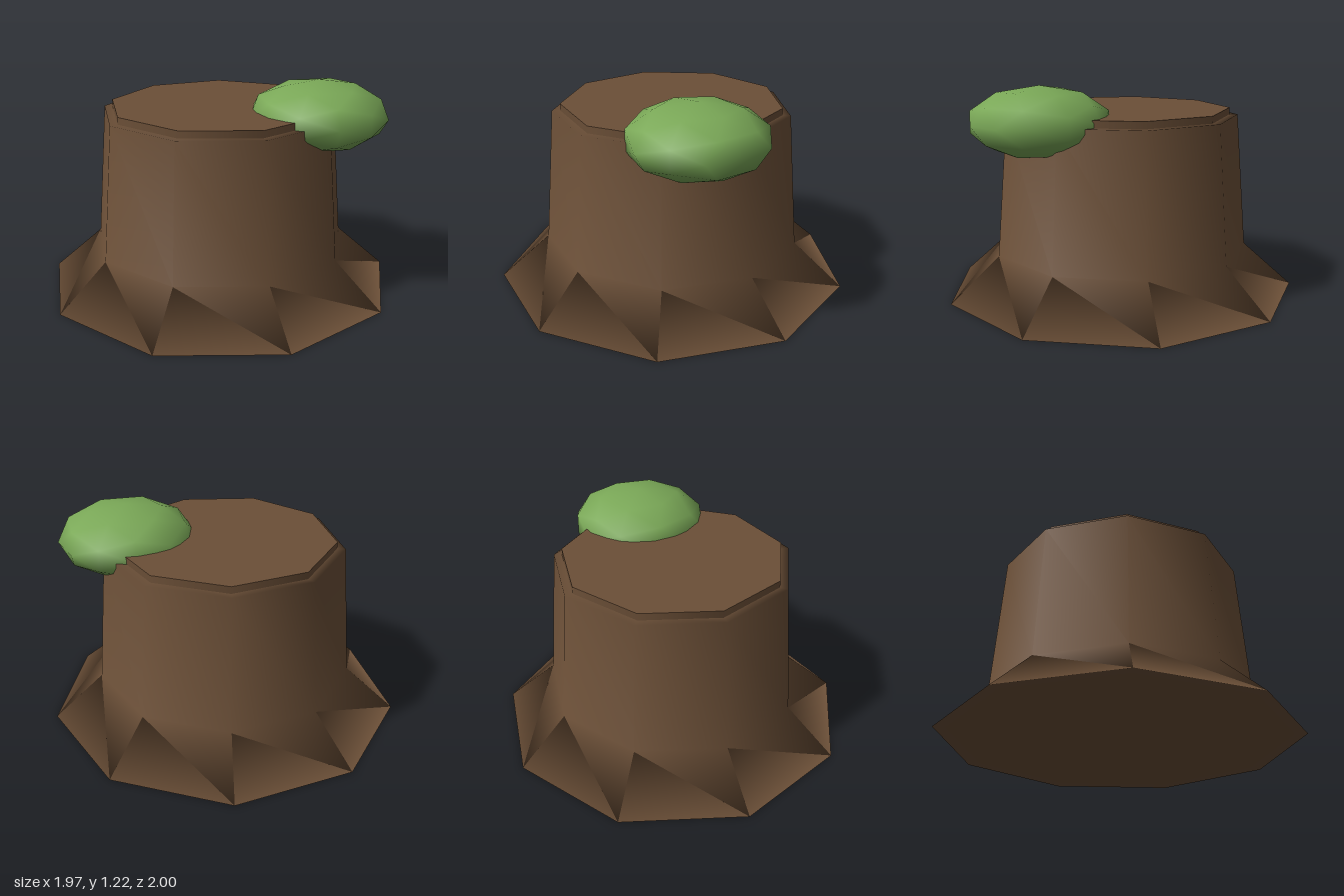
import * as THREE from 'three';

const SIDES = 9;
const START = Math.PI / 2; // one corner points to +x

export function createModel() {
  const bark = new THREE.MeshStandardMaterial({ color: 0x6b4f37 });
  bark.name = 'bark brown';
  const green = new THREE.MeshStandardMaterial({ color: 0x7aa857 });
  green.name = 'moss green';

  const group = new THREE.Group();
  group.name = 'treeStump';

  const add = (name, geometry, material, x, y, z) => {
    const mesh = new THREE.Mesh(geometry, material);
    mesh.name = name;
    mesh.position.set(x, y, z);
    group.add(mesh);
    return mesh;
  };

  // Closed underside, flared root skirt, tapered trunk and narrow top rim,
  // with normals blended along the profile
  const profile = [
    [0, 0], [1.015, 0], [0.735, 0.25], [0.675, 1.02], [0.6, 1.02],
  ].map(([r, y]) => new THREE.Vector2(r, y));
  add('trunk', new THREE.LatheGeometry(profile, SIDES, START), bark, -0.03, 0, 0);

  // Cut face, a thin disc on top of the trunk
  const disc = new THREE.CylinderGeometry(0.628, 0.628, 0.045, SIDES, 1, false, START);
  add('cutTop', disc, bark, -0.03, 1.0375, 0);

  // Flattened moss clump hanging over the rim
  const moss = add('mossClump', new THREE.IcosahedronGeometry(1, 1), green, 0.488, 1.025, 0.21);
  moss.scale.set(0.39, 0.195, 0.39);

  return group;
}
